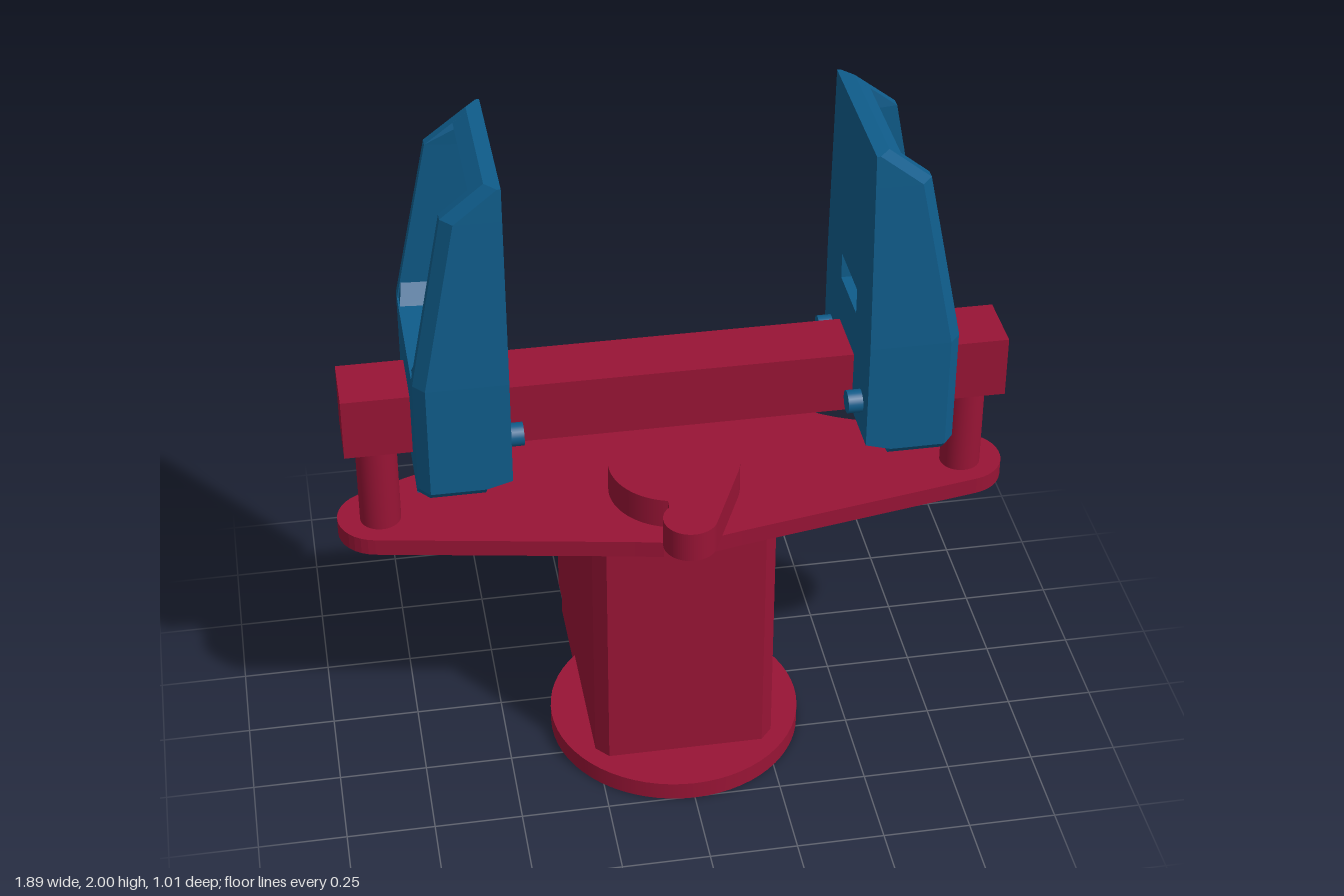
import * as THREE from 'three';

const RED = new THREE.MeshStandardMaterial({ color: 0x981435 });
const BLUE = new THREE.MeshStandardMaterial({ color: 0x0f5c8a });
const AXIS_Z = 0.14; // shared centre line of servo disc, bar and fingers

function add(parent, name, geometry, material, x = 0, y = 0, z = 0) {
  const mesh = new THREE.Mesh(geometry, material);
  mesh.name = name;
  mesh.position.set(x, y, z);
  parent.add(mesh);
  return mesh;
}

// Upright slab from a shape drawn in (x, -z)
function slab(shape, height) {
  const g = new THREE.ExtrudeGeometry(shape, { depth: height, bevelEnabled: false, curveSegments: 24 });
  return g.rotateX(-Math.PI / 2);
}

// Shape from [x, z] points on the +x half, mirrored to the other half
function mirroredShape(half) {
  const other = half.map(([x, z]) => [-x, z]).reverse();
  return new THREE.Shape([...half, ...other].map(([x, z]) => new THREE.Vector2(x, -z)));
}

// Flat-faced solid through convex [x, z] rings at rising heights
function loft(rings) {
  const pos = [];
  const n = rings[0].pts.length;
  const put = (r, i) => pos.push(r.pts[i % n][0], r.y, r.pts[i % n][1]);
  for (let k = 0; k < rings.length - 1; k++) {
    const a = rings[k], b = rings[k + 1];
    for (let i = 0; i < n; i++) {
      put(a, i); put(a, i + 1); put(b, i + 1);
      put(a, i); put(b, i + 1); put(b, i);
    }
  }
  const low = rings[0], top = rings[rings.length - 1];
  for (let i = 1; i < n - 1; i++) {
    put(low, 0); put(low, i + 1); put(low, i);
    put(top, 0); put(top, i); put(top, i + 1);
  }
  const g = new THREE.BufferGeometry();
  g.setAttribute('position', new THREE.Float32BufferAttribute(pos, 3));
  g.computeVertexNormals();
  return g;
}

const flipZ = (rings) => rings.map(({ y, pts }) => ({ y, pts: pts.map(([x, z]) => [x, -z]).reverse() }));

function makeServo() {
  const servo = new THREE.Group();
  servo.name = 'servo';

  add(servo, 'baseDisc', new THREE.CylinderGeometry(0.365, 0.365, 0.055, 64), RED, 0, 0.0275, AXIS_Z);

  // Housing with chamfered corners, notched at the two lower back corners
  const front = [[0.225, 0.35], [0.26, 0.31]];
  add(servo, 'housing', slab(mirroredShape([...front, [0.26, -0.47], [0.225, -0.505]]), 0.75), RED, 0, 0.055);
  const notch = [[0.26, -0.4], [0.22, -0.4], [0.155, -0.465], [0.155, -0.505]];
  add(servo, 'housingFoot', slab(mirroredShape([...front, ...notch]), 0.055), RED);

  // Mounting plate: concave flanks sweeping out to rounded ears
  const outline = [[0, 0.395], [0.07, 0.387], [0.15, 0.37]];
  const earX = 0.83, earZ = 0.13, earR = 0.115;
  for (let i = 0; i <= 14; i++) {
    const a = 1.4 - (i / 14) * 2.5;
    outline.push([earX + earR * Math.cos(a), earZ + earR * Math.sin(a)]);
  }
  const flank = new THREE.SplineCurve([[0.73, -0.035], [0.6, -0.085], [0.5, -0.13], [0.42, -0.19],
    [0.32, -0.315], [0.275, -0.41], [0.26, -0.475]].map((p) => new THREE.Vector2(...p)));
  flank.getPoints(24).forEach((p) => outline.push([p.x, p.y]));
  outline.push([0.23, -0.508]);
  const half = outline.slice(1);
  const plate = mirroredShape(half);
  add(servo, 'mountingPlate', slab(plate, 0.05), RED, 0, 0.795);

  // Horn: round hub with two opposite lobes, each tangent on one side
  const horn = new THREE.Shape();
  const tangent = 2.714;
  for (const [turn, lobeY] of [[0, 0.265], [Math.PI, -0.265]]) {
    horn.absarc(0, 0, 0.185, tangent - Math.PI + turn, 1.31 + turn, false);
    horn.absarc(0, lobeY, 0.075, -0.85 + turn, tangent + turn, false);
  }
  add(servo, 'servoHorn', slab(horn, 0.09), RED, 0, 0.845, AXIS_Z);
  return servo;
}

function makeRail() {
  const rail = new THREE.Group();
  rail.name = 'rail';
  add(rail, 'guideBar', new THREE.BoxGeometry(1.83, 0.18, 0.18), RED, 0, 1.21, AXIS_Z);
  for (const side of [-1, 1]) {
    add(rail, 'railPost', new THREE.CylinderGeometry(0.057, 0.057, 0.3, 32), RED, side * 0.825, 0.985, AXIS_Z);
  }
  return rail;
}

// One finger, inner face at x = 0.48, symmetric about its own z = 0
function makeFinger() {
  const finger = new THREE.Group();
  finger.name = 'finger';
  const IN = 0.48;

  // Solid lower block with chamfered outer corners
  const ring = (y, x0, x1, w) => ({
    y,
    pts: [[x0, w], [x1 - 0.03, w], [x1, w - 0.037], [x1, 0.037 - w], [x1 - 0.03, -w], [x0, -w]],
  });
  add(finger, 'fingerBlock', loft([
    ring(1.045, 0.55, 0.725, 0.13), ring(1.065, 0.55, 0.73, 0.23), ring(1.1, 0.55, 0.73, 0.265),
    ring(1.12, IN, 0.73, 0.265), ring(1.43, IN, 0.73, 0.265),
  ]), BLUE);
  add(finger, 'fingerTab', new THREE.BoxGeometry(0.175, 0.08, 0.2), BLUE, 0.6375, 1.03);

  // Tapering side walls around the outer pocket
  const wallRing = (y, x, w, inner) => ({
    y,
    pts: [[IN, w], [x - 0.03, w], [x, w - 0.035], [x, inner], [IN, inner - 0.02]],
  });
  const wall = [wallRing(1.43, 0.73, 0.265, 0.2), wallRing(1.91, 0.635, 0.24, 0.177), wallRing(2, 0.52, 0.235, 0.172)];
  const corner = [
    { y: 1.43, pts: [[0.5, 0.21], [0.725, 0.21], [0.725, 0.155], [0.5, 0.135]] },
    { y: 1.48, pts: [[0.5, 0.21], [0.718, 0.21], [0.718, 0.198], [0.5, 0.178]] },
  ];
  for (const mirror of [(r) => r, flipZ]) {
    add(finger, 'pocketWall', loft(mirror(wall)), BLUE);
    add(finger, 'pocketCorner', loft(mirror(corner)), BLUE);
  }

  // Thin gripping plate with a through slot
  const pad = new THREE.Shape([[-0.2, 1.43], [0.2, 1.43], [0.175, 2], [-0.175, 2]].map((p) => new THREE.Vector2(...p)));
  pad.holes.push(new THREE.Path([[-0.092, 1.435], [-0.092, 1.51], [0.092, 1.51], [0.092, 1.435]]
    .map((p) => new THREE.Vector2(...p))));
  const padGeo = new THREE.ExtrudeGeometry(pad, { depth: 0.035, bevelEnabled: false }).rotateY(Math.PI / 2);
  add(finger, 'gripPlate', padGeo, BLUE, IN);

  // Sloped rim closing the pocket at the tip
  const rimRing = (y, x) => ({ y, pts: [[IN, 0.18], [x, 0.18], [x, -0.18], [IN, -0.18]] });
  add(finger, 'tipRim', loft([rimRing(1.97, 0.558), rimRing(2, 0.52)]), BLUE);

  // Two pins on the inner face
  for (const z of [-0.187, 0.187]) {
    const pin = new THREE.CylinderGeometry(0.032, 0.032, 0.06, 24).rotateZ(Math.PI / 2);
    add(finger, 'fingerPin', pin, BLUE, 0.47, 1.215, z);
  }
  return finger;
}

export function createModel() {
  const model = new THREE.Group();
  model.name = 'gripper';
  model.add(makeServo(), makeRail());
  for (const [name, turn] of [['leftFinger', 0], ['rightFinger', Math.PI]]) {
    const finger = makeFinger();
    finger.name = name;
    finger.position.z = AXIS_Z;
    finger.rotation.y = turn;
    model.add(finger);
  }
  return model;
}
